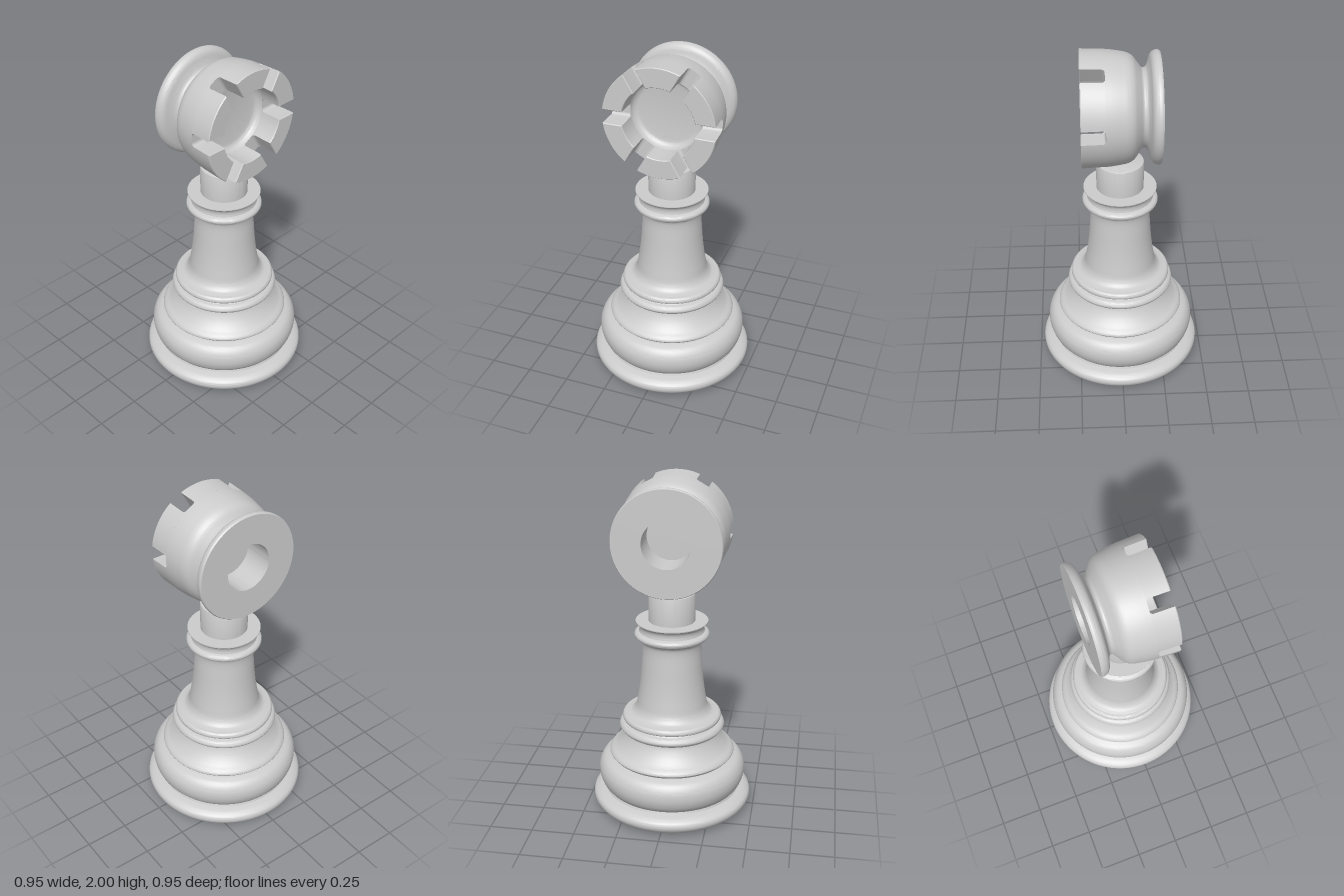
import * as THREE from 'three';
import { toCreasedNormals } from 'three/addons/utils/BufferGeometryUtils.js';

const material = new THREE.MeshStandardMaterial({ color: 0xcccccc });

// Turned part: each run of [radius, height] points is a smooth curve, runs meet in sharp edges
function turned(runs) {
  const pts = [];
  for (const run of runs) {
    const v = run.map(([r, y]) => new THREE.Vector3(r, y, 0));
    const smooth = v.length > 2
      ? new THREE.CatmullRomCurve3(v, false, 'centripetal').getPoints((v.length - 1) * 5)
      : v;
    for (const p of smooth) {
      const q = new THREE.Vector2(Math.max(p.x, 0), p.y);
      if (!pts.length || pts[pts.length - 1].distanceTo(q) > 1e-5) pts.push(q);
    }
  }
  return toCreasedNormals(new THREE.LatheGeometry(pts, 96), 0.6);
}

function addMesh(parent, name, geometry) {
  const mesh = new THREE.Mesh(geometry, material);
  mesh.name = name;
  parent.add(mesh);
  return mesh;
}

// Battlement block: ring sector between parallel-sided notches, rounded at the notch floor
function merlonGeometry(floorZ, rimZ, halfGap, fillet) {
  const n = 17, levels = [];
  for (let k = 0; k <= 5; k++) {
    const t = (k / 5) * Math.PI / 2;
    levels.push([floorZ + fillet * (1 - Math.cos(t)), halfGap - fillet * (1 - Math.sin(t)), 0]);
  }
  levels.push([rimZ - 0.005, halfGap, 0], [rimZ, halfGap + 0.004, 0.004]);

  const pos = [], idx = [], size = 2 * n;
  for (const [z, gap, bevel] of levels) {
    const outer = 0.318 + (z - floorZ) * 0.04 - bevel, inner = 0.21 + bevel;
    const arc = (r, s) => {
      const a = Math.asin(gap / r);
      const angle = a + (Math.PI / 3 - 2 * a) * s;
      pos.push(r * Math.cos(angle), r * Math.sin(angle), z);
    };
    for (let i = 0; i < n; i++) arc(outer, i / (n - 1));
    for (let i = 0; i < n; i++) arc(inner, 1 - i / (n - 1));
  }
  for (let l = 0; l < levels.length - 1; l++) {
    for (let i = 0; i < size; i++) {
      const a = l * size + i, b = l * size + (i + 1) % size;
      idx.push(a, b, b + size, a, b + size, a + size);
    }
  }
  const top = (levels.length - 1) * size;
  for (let i = 0; i < n - 1; i++) {
    const o = top + i, q = top + size - 1 - i;
    idx.push(o, o + 1, q - 1, o, q - 1, q);
  }
  const g = new THREE.BufferGeometry();
  g.setAttribute('position', new THREE.Float32BufferAttribute(pos, 3));
  g.setIndex(idx);
  return toCreasedNormals(g, 0.5);
}

export function createModel() {
  const model = new THREE.Group();
  model.name = 'rookPiece';

  // Foot disc and the large rounded moulding
  addMesh(model, 'foot', turned([
    [[0, 0], [0.41, 0]],
    [[0.41, 0], [0.455, 0.032], [0.474, 0.06], [0.472, 0.088], [0.445, 0.11], [0.405, 0.122]],
    [[0.405, 0.122], [0.4, 0.135]],
    [[0.4, 0.135], [0.422, 0.165], [0.438, 0.215], [0.434, 0.27], [0.408, 0.312], [0.365, 0.332]],
    [[0.365, 0.332], [0, 0.332]],
  ]));

  // Flared lower body with its two rings
  addMesh(model, 'lowerBody', turned([
    [[0.34, 0.33], [0.36, 0.335]],
    [[0.36, 0.335], [0.373, 0.352], [0.362, 0.37], [0.335, 0.39], [0.3, 0.432], [0.278, 0.475], [0.273, 0.495]],
    [[0.273, 0.495], [0.295, 0.5], [0.312, 0.522], [0.3, 0.545], [0.278, 0.552]],
    [[0.278, 0.552], [0.272, 0.562]],
    [[0.272, 0.562], [0.289, 0.567], [0.292, 0.582], [0.282, 0.597], [0.265, 0.6]],
    [[0.265, 0.6], [0, 0.6]],
  ]));

  // Tapered column with collar and flared lip
  addMesh(model, 'column', turned([
    [[0.265, 0.6], [0.235, 0.61], [0.213, 0.64], [0.2, 0.7], [0.186, 0.8], [0.176, 0.92], [0.171, 1.03],
      [0.178, 1.055], [0.2, 1.072]],
    [[0.2, 1.072], [0.213, 1.08], [0.217, 1.092], [0.212, 1.105], [0.19, 1.115]],
    [[0.19, 1.115], [0.187, 1.135], [0.193, 1.155], [0.209, 1.17]],
    [[0.209, 1.17], [0.209, 1.175]],
    [[0.209, 1.175], [0, 1.175]],
  ]));

  // Connecting peg
  addMesh(model, 'peg', turned([
    [[0.135, 1.17], [0.135, 1.336]],
    [[0.135, 1.336], [0.133, 1.342], [0.127, 1.344]],
    [[0.127, 1.344], [0, 1.344]],
  ]));

  // Detached head lying on its side, crown towards the front
  const head = new THREE.Group();
  head.name = 'head';
  head.position.y = 1.677;
  model.add(head);

  // Head body: socket for the peg, flange, waist, cup and bowl
  const body = turned([
    [[0, -0.035], [0.137, -0.035]],
    [[0.137, -0.035], [0.137, -0.217]],
    [[0.137, -0.217], [0.305, -0.217]],
    [[0.305, -0.217], [0.31, -0.208], [0.307, -0.185], [0.29, -0.166], [0.25, -0.153], [0.222, -0.14], [0.216, -0.128]],
    [[0.216, -0.128], [0.218, -0.118], [0.246, -0.096], [0.282, -0.068], [0.298, -0.04], [0.307, 0], [0.314, 0.045], [0.318, 0.085]],
    [[0.318, 0.085], [0.21, 0.085]],
    [[0.21, 0.085], [0.203, 0.065], [0.186, 0.05], [0.16, 0.045]],
    [[0.16, 0.045], [0, 0.045]],
  ]);
  body.rotateX(Math.PI / 2);
  addMesh(head, 'headBody', body);

  // Six battlements around the rim
  const merlon = merlonGeometry(0.085, 0.217, 0.04, 0.018);
  for (let i = 0; i < 6; i++) {
    addMesh(head, 'battlement', merlon).rotation.z = i * Math.PI / 3;
  }
  return model;
}
